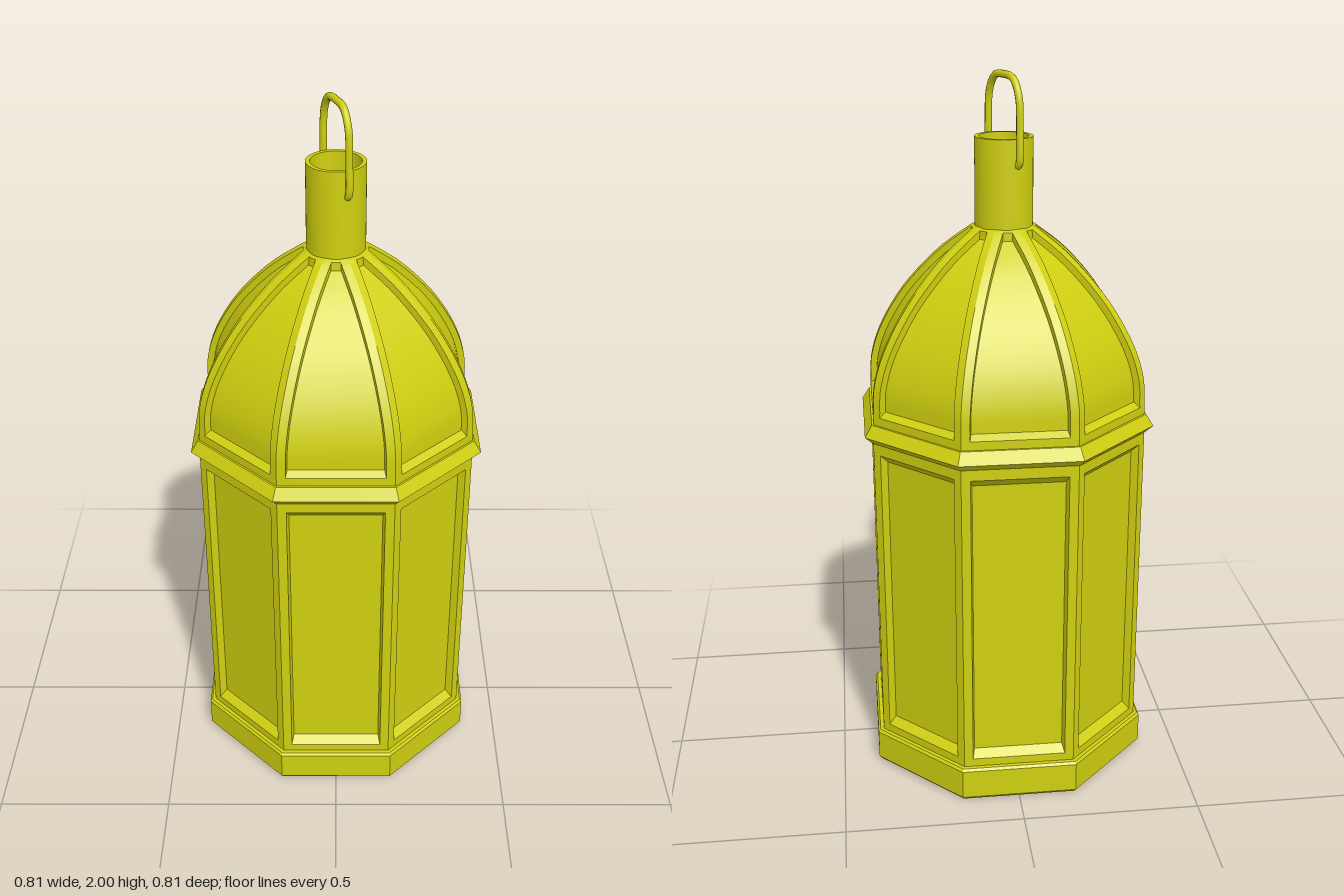
import * as THREE from 'three';
import { mergeGeometries, toCreasedNormals } from 'three/addons/utils/BufferGeometryUtils.js';

const SIDES = 8;
const TAN = Math.tan(Math.PI / SIDES);

// Eight-sided shell from a profile of [apothem, y] rows, bottom to top.
// Rows from `first` to `last` hold a sunken panel between ribs; the rows just
// outside them carry the panel's outer edge, so the rim of the panel is bevelled.
function octagonShell(profile, panel) {
  const rows = profile.map(([a, y], i) => {
    const half = a * TAN;
    if (!panel || i < panel.first - 1 || i > panel.last + 1) {
      return [-half, -half / 2, -half / 2, half / 2, half / 2, half].map((x) => [x, y, a]);
    }
    const edge = Math.max(half - panel.rib, 0.008);
    if (i < panel.first || i > panel.last) {
      return [-half, -edge, -edge, edge, edge, half].map((x) => [x, y, a]);
    }
    // sink along the profile's normal
    const [a0, y0] = profile[i - 1], [a1, y1] = profile[i + 1];
    const len = Math.hypot(a1 - a0, y1 - y0);
    const dz = -panel.depth * (y1 - y0) / len, dy = panel.depth * (a1 - a0) / len;
    const inner = Math.max(edge - panel.bevel, 0.005);
    return [
      [-half, y, a], [-edge, y, a], [-inner, y + dy, a + dz],
      [inner, y + dy, a + dz], [edge, y, a], [half, y, a],
    ];
  });
  const pos = [];
  for (let i = 0; i < rows.length - 1; i++) {
    for (let j = 0; j < 5; j++) {
      const a = rows[i][j], b = rows[i][j + 1], c = rows[i + 1][j + 1], d = rows[i + 1][j];
      pos.push(...a, ...b, ...c, ...a, ...c, ...d);
    }
  }
  const face = new THREE.BufferGeometry();
  face.setAttribute('position', new THREE.Float32BufferAttribute(pos, 3));
  const faces = [];
  for (let k = 0; k < SIDES; k++) faces.push(face.clone().rotateY(k * 2 * Math.PI / SIDES));
  return toCreasedNormals(mergeGeometries(faces), 0.45);
}

export function createModel() {
  const group = new THREE.Group();
  const material = new THREE.MeshStandardMaterial({ color: 0xcfcf10, side: THREE.DoubleSide });
  const add = (name, geometry) => {
    const mesh = new THREE.Mesh(geometry, material);
    mesh.name = name;
    group.add(mesh);
    return mesh;
  };

  // Plinth with softened edges
  add('base', octagonShell([
    [0, 0], [0.388, 0], [0.396, 0.01], [0.396, 0.095], [0.39, 0.102], [0.37, 0.104],
  ]));

  // Straight walls with one sunken panel per side
  add('body', octagonShell([
    [0.38, 0.1], [0.38, 0.127], [0.38, 0.148], [0.38, 0.967], [0.38, 0.99], [0.38, 1.025],
  ], { first: 2, last: 3, rib: 0.025, depth: 0.022, bevel: 0.006 }));

  // Pointed moulding between the walls and the dome
  add('rim', octagonShell([
    [0.37, 1.02], [0.383, 1.022], [0.403, 1.042], [0.383, 1.075], [0.365, 1.077],
  ]));

  // Ribbed dome
  const arc = new THREE.SplineCurve([
    [0.377, 1.115], [0.373, 1.18], [0.35, 1.26], [0.308, 1.345],
    [0.254, 1.425], [0.175, 1.513], [0.1, 1.575],
  ].map(([a, y]) => new THREE.Vector2(a, y)));
  const arcRows = arc.getPoints(20).map((p) => [p.x, p.y]);
  add('dome', octagonShell([
    [0.378, 1.06], [0.378, 1.1], ...arcRows, [0.088, 1.584], [0.078, 1.59], [0.05, 1.592],
  ], { first: 2, last: 1 + arcRows.length, rib: 0.024, depth: 0.018, bevel: 0.004 }));

  // Hollow chimney neck
  const neck = [
    [0.08, 1.56], [0.08, 1.83], [0.068, 1.83], [0.068, 1.62], [0, 1.62],
  ].map(([r, y]) => new THREE.Vector2(r, y));
  add('neck', toCreasedNormals(new THREE.LatheGeometry(neck, 40), 0.6));

  // Wire handle hooked through the neck
  const halfPath = [[0.055, 1.762], [0.078, 1.76], [0.087, 1.772], [0.087, 1.85], [0.08, 1.94], [0.05, 1.983]];
  const path = [
    ...halfPath.map(([x, y]) => new THREE.Vector3(-x, y, 0)),
    new THREE.Vector3(0, 1.99, 0),
    ...halfPath.slice().reverse().map(([x, y]) => new THREE.Vector3(x, y, 0)),
  ];
  const handle = add('handle', new THREE.TubeGeometry(new THREE.CatmullRomCurve3(path), 80, 0.01, 10));
  handle.rotation.y = -3 * Math.PI / 8;

  return group;
}
